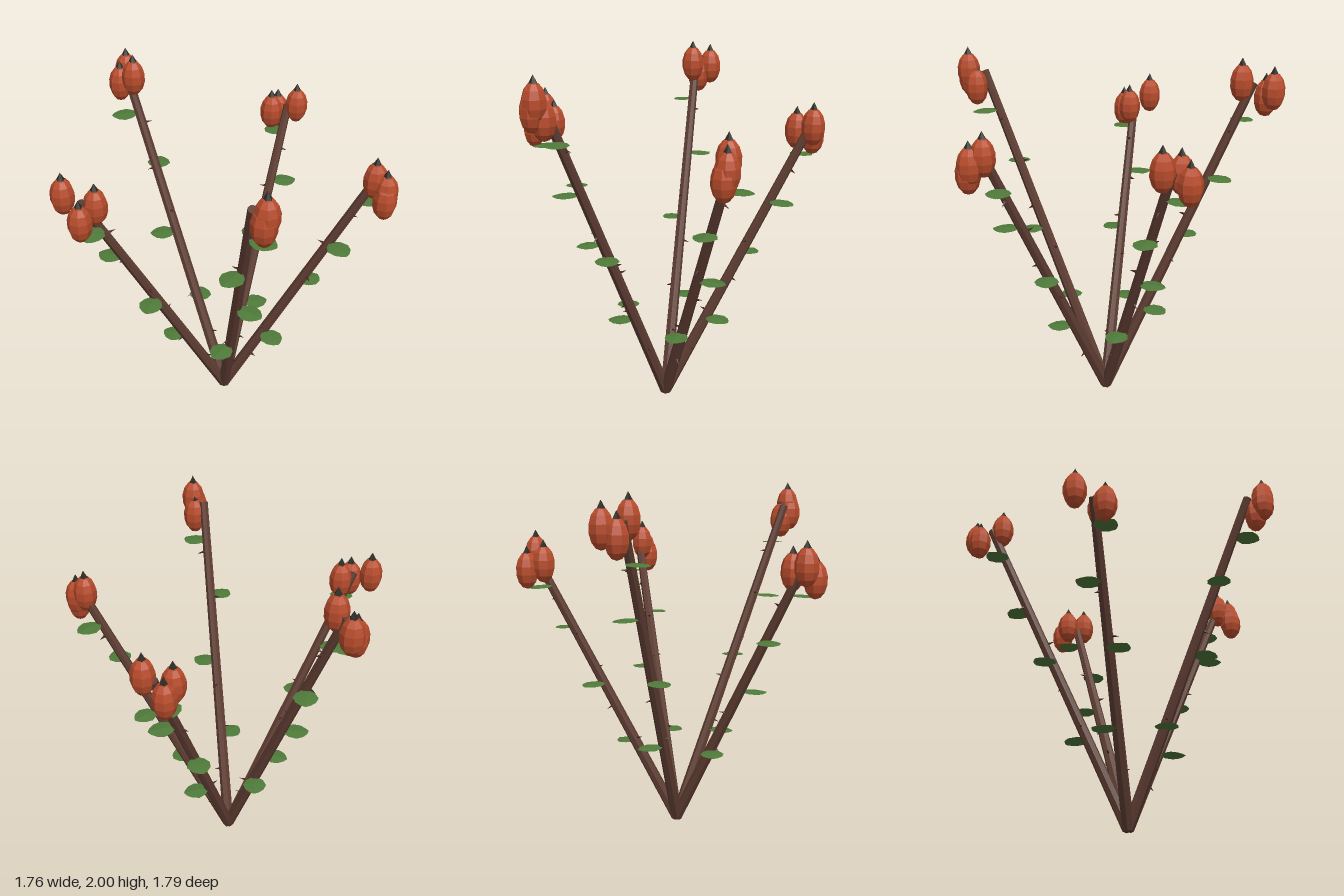
import * as THREE from 'three';

const mat = (name, color, extra = {}) => {
  const m = new THREE.MeshStandardMaterial({ color, flatShading: true, ...extra });
  m.name = name;
  return m;
};

// Broad leaf growing along +z from its origin, arched and drooping at the rim
function leafGeometry() {
  const rows = [[0.01, 0.012], [0.04, 0.05], [0.08, 0.068], [0.12, 0.054], [0.145, 0.028], [0.158, 0.004]];
  const pos = [], idx = [];
  rows.forEach(([z, w], i) => {
    const y = 0.006 - 1.1 * (z - 0.06) ** 2;
    for (const s of [-1, 0, 1]) pos.push(s * w, y - Math.abs(s) * w * 0.12, z);
    if (i === 0) return;
    for (let k = 0; k < 2; k++) {
      const a = (i - 1) * 3 + k, b = a + 3;
      idx.push(a, b, a + 1, a + 1, b, b + 1);
    }
  });
  const g = new THREE.BufferGeometry();
  g.setAttribute('position', new THREE.Float32BufferAttribute(pos, 3));
  g.setIndex(idx);
  g.computeVertexNormals();
  return g;
}

export function createModel() {
  const model = new THREE.Group();
  model.name = 'roseHipBush';
  const bark = mat('bark brown', 0x5e3d32);
  const green = mat('leaf green', 0x4f7a3a, { side: THREE.DoubleSide });
  const red = mat('hip red', 0xb84c2c);
  const dark = mat('dark tip', 0x2c2a24);
  const thornMat = mat('thorn brown', 0x4a2626);

  const leafGeo = leafGeometry();
  const hipGeo = new THREE.SphereGeometry(0.066, 8, 7).scale(1, 1.6, 1);
  const tipGeo = new THREE.ConeGeometry(0.03, 0.055, 5);
  const thornGeo = new THREE.ConeGeometry(0.009, 0.04, 4).translate(0, 0.02, 0);
  const up = new THREE.Vector3(0, 1, 0);
  const base = new THREE.Vector3(0.02, 0.014, 0.085);

  const add = (parent, name, geo, material, p) => {
    const mesh = new THREE.Mesh(geo, material);
    mesh.name = name;
    mesh.position.copy(p);
    parent.add(mesh);
    return mesh;
  };

  // Each cane: tip point, leaf heights and the three fruits in its cluster
  const tall = [0.53, 0.96, 1.33, 1.64], short = [0.485, 0.86, 1.18, 1.435];
  const canes = [
    { name: 'backCane', tip: [0.03, 1.86, -0.74], leaves: tall,
      hips: [[0.025, 1.86, -0.675], [0.105, 1.825, -0.835], [0.035, 1.775, -0.81]] },
    { name: 'leftCane', tip: [0.79, 1.6, -0.17], leaves: short,
      hips: [[0.81, 1.61, -0.12], [0.71, 1.565, -0.23], [0.80, 1.53, -0.26]] },
    { name: 'frontLeftCane', tip: [0.485, 1.6, 0.73], leaves: short,
      hips: [[0.47, 1.61, 0.74], [0.46, 1.52, 0.82], [0.475, 1.565, 0.81]] },
    { name: 'frontRightCane', tip: [-0.465, 1.86, 0.74], leaves: tall,
      hips: [[-0.465, 1.86, 0.83], [-0.48, 1.815, 0.825], [-0.435, 1.77, 0.79]] },
    { name: 'rightCane', tip: [-0.765, 1.6, -0.18], leaves: short,
      hips: [[-0.80, 1.61, -0.28], [-0.70, 1.565, -0.14], [-0.82, 1.525, -0.12]] },
  ];

  for (const cane of canes) {
    const group = new THREE.Group();
    group.name = cane.name;
    model.add(group);
    const tip = new THREE.Vector3(...cane.tip);
    const axis = tip.clone().sub(base);
    const length = axis.length();
    const heading = Math.atan2(axis.x, axis.z);
    axis.normalize();
    const lean = new THREE.Quaternion().setFromUnitVectors(up, axis);

    // Tapered stem
    const stem = add(group, 'stem', new THREE.CylinderGeometry(0.025, 0.034, length, 7), bark,
      base.clone().lerp(tip, 0.5));
    stem.quaternion.copy(lean);

    // Leaves alternate from side to side, angled outward
    cane.leaves.forEach((y, i) => {
      const p = base.clone().lerp(tip, (y - base.y) / (tip.y - base.y));
      add(group, 'leaf', leafGeo, green, p).rotation.y = heading + (i % 2 ? 0.85 : -0.85);
    });

    // Thorns spiral up the stem
    for (let k = 0; k < 6; k++) {
      const t = 0.18 + k * 0.135;
      const a = k * 2.4 + 1;
      const out = new THREE.Vector3(Math.cos(a), -0.15, Math.sin(a)).normalize().applyQuaternion(lean);
      const p = base.clone().lerp(tip, t).addScaledVector(out, 0.022);
      add(group, 'thorn', thornGeo, thornMat, p).quaternion.setFromUnitVectors(up, out);
    }

    // Fruit cluster with dark pointed tips
    for (const h of cane.hips) {
      const p = new THREE.Vector3(...h);
      add(group, 'hip', hipGeo, red, p);
      add(group, 'hipTip', tipGeo, dark, p.clone().setY(p.y + 0.112));
    }
  }
  return model;
}
